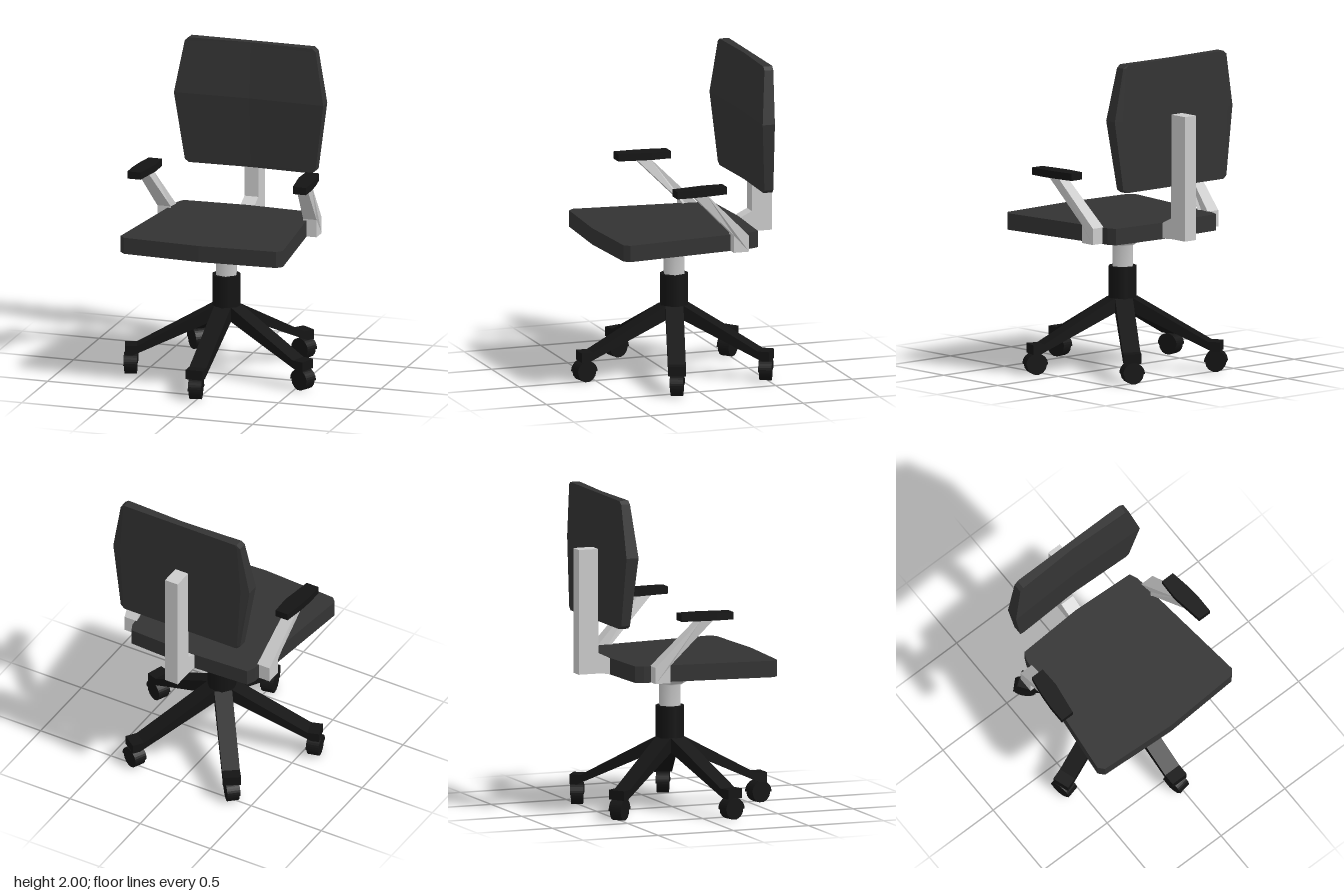
import * as THREE from 'three';

const metal = new THREE.MeshStandardMaterial({ color: 0xcccccc });
const fabric = new THREE.MeshStandardMaterial({ color: 0x333333 });
const black = new THREE.MeshStandardMaterial({ color: 0x141414 });

const CX = -0.013, CZ = -0.02; // column axis

const toShape = pts => new THREE.Shape(pts.map(p => new THREE.Vector2(...p)));

function add(parent, name, geometry, material) {
  const mesh = new THREE.Mesh(geometry, material);
  mesh.name = name;
  parent.add(mesh);
  return mesh;
}

// Side profile in (z, y), given a width across x and centred on x = 0
function sideProfile(shape, width) {
  const g = new THREE.ExtrudeGeometry(shape, { depth: width, bevelEnabled: false, curveSegments: 8 });
  return g.translate(0, 0, -width / 2).rotateY(-Math.PI / 2);
}

// Plan outline in (x, z), given a thickness from y0 to y1
function planSlab(pts, y0, y1) {
  const g = new THREE.ExtrudeGeometry(toShape(pts), { depth: y1 - y0, bevelEnabled: false });
  return g.rotateX(Math.PI / 2).translate(0, y1, 0);
}

// Solid through equal-length loops of points stacked upwards
function loft(loops) {
  const n = loops[0].length, pos = [];
  const tri = (a, b, c) => pos.push(...a, ...b, ...c);
  for (let i = 0; i < loops.length - 1; i++) {
    for (let j = 0; j < n; j++) {
      const k = (j + 1) % n, lo = loops[i], hi = loops[i + 1];
      tri(lo[j], lo[k], hi[k]);
      tri(lo[j], hi[k], hi[j]);
    }
  }
  const first = loops[0], last = loops[loops.length - 1];
  for (let j = 1; j < n - 1; j++) {
    tri(first[0], first[j + 1], first[j]);
    tri(last[0], last[j], last[j + 1]);
  }
  const g = new THREE.BufferGeometry();
  g.setAttribute('position', new THREE.Float32BufferAttribute(pos, 3));
  g.computeVertexNormals();
  return g;
}

// Backrest: widest and deepest at mid height, slightly hollow front
function backrest(root) {
  const sections = [ // y, half width, half width of flat back, side back z, front z
    [1.2, 0.4, 0.385, -0.515, -0.457],
    [1.22, 0.425, 0.405, -0.513, -0.455],
    [1.65, 0.485, 0.43, -0.502, -0.422],
    [1.98, 0.425, 0.405, -0.513, -0.455],
    [2.0, 0.4, 0.385, -0.515, -0.457],
  ];
  const loops = sections.map(([y, w, b, zs, zf]) => [
    [0, zf - 0.015], [w, zf], [w, zs], [b, -0.517], [-b, -0.517], [-w, zs], [-w, zf],
  ].map(([x, z]) => [x - 0.004, y, z]));
  add(root, 'backrest', loft(loops), fabric);
}

function seat(root) {
  const half = [[0.495, 0.49], [0.527, 0.455], [0.435, -0.37], [0.412, -0.42]];
  const mirrored = half.map(([x, z]) => [-x, z]).reverse();
  const outline = [[0, 0.517], ...half, [0, -0.44], ...mirrored];
  add(root, 'seat', planSlab(outline, 0.862, 0.965), fabric).position.x = CX;
}

function backPost(root) {
  const profile = [[-0.43, 0.864], [-0.51, 0.872], [-0.645, 0.872], [-0.645, 1.65],
    [-0.514, 1.65], [-0.514, 1.0], [-0.43, 0.96]];
  add(root, 'backPost', sideProfile(toShape(profile), 0.09), metal).position.x = -0.016;
}

// Armrest: splayed metal support and curved pad
function armrest(root, s) {
  const arm = new THREE.Group();
  arm.name = s > 0 ? 'leftArmrest' : 'rightArmrest';
  arm.position.x = CX;
  root.add(arm);

  const profile = [[-0.225, 0.864], [-0.325, 0.864], [-0.325, 0.965], [-0.03, 1.26], [0.06, 1.26], [-0.225, 0.975]];
  const g = sideProfile(toShape(profile), 1);
  const p = g.attributes.position;
  for (let i = 0; i < p.count; i++) {
    const t = Math.max(0, (p.getY(i) - 0.97) / 0.29);
    p.setX(i, s * (0.473 + 0.042 * t) + p.getX(i) * (0.088 - 0.018 * t));
  }
  g.computeVertexNormals();
  add(arm, 'armSupport', g, metal);

  const pad = [[0.468, -0.167], [0.553, -0.167], [0.573, -0.04], [0.581, 0.06], [0.58, 0.168],
    [0.495, 0.168], [0.482, 0.08], [0.464, -0.04]];
  add(arm, 'armPad', planSlab(pad.map(([x, z]) => [s * x, z]), 1.248, 1.294), black);
}

// Column: flared seat plate, metal tube and black hub
function column(root) {
  const group = new THREE.Group();
  group.name = 'column';
  group.position.set(CX, 0, CZ);
  root.add(group);
  const flare = [[0.072, 0.6], [0.072, 0.77], [0.09, 0.782], [0.2, 0.842], [0.24, 0.866]]
    .map(q => new THREE.Vector2(...q));
  add(group, 'seatPlate', new THREE.LatheGeometry(flare, 6), metal).rotation.y = Math.PI / 12;
  add(group, 'hub', new THREE.CylinderGeometry(0.088, 0.088, 0.26, 12).translate(0, 0.51, 0), black);
}

// Swivel caster: wheel under a half-round hood
function caster(parent, yaw) {
  const group = new THREE.Group();
  group.name = 'caster';
  group.position.set(0, 0.064, 0.588);
  group.rotation.y = yaw;
  parent.add(group);
  const hood = new THREE.Shape();
  hood.absarc(0, 0, 0.07, 0, Math.PI, false);
  add(group, 'casterHood', sideProfile(hood, 0.083), black);
  add(group, 'casterWheel', new THREE.CylinderGeometry(0.064, 0.064, 0.074, 14).rotateZ(Math.PI / 2), black);
}

// Five sloping legs, each caster turned its own way
function base(root) {
  const profile = [[0, 0.39], [0.575, 0.13], [0.624, 0.13], [0.624, 0.19], [0.55, 0.19], [0.08, 0.445], [0, 0.445]];
  const legGeometry = sideProfile(toShape(profile), 0.11);
  const headings = [0.18, 1.13, 1.14, 0.75, 0.24];
  headings.forEach((heading, i) => {
    const angle = i * Math.PI * 2 / 5;
    const leg = new THREE.Group();
    leg.name = 'leg' + (i + 1);
    leg.position.set(CX, 0, CZ);
    leg.rotation.y = angle;
    root.add(leg);
    add(leg, 'legBeam', legGeometry, black);
    caster(leg, heading - angle);
  });
}

export function createModel() {
  const root = new THREE.Group();
  root.name = 'officeChair';
  backrest(root);
  seat(root);
  backPost(root);
  for (const s of [1, -1]) armrest(root, s);
  column(root);
  base(root);
  return root;
}
